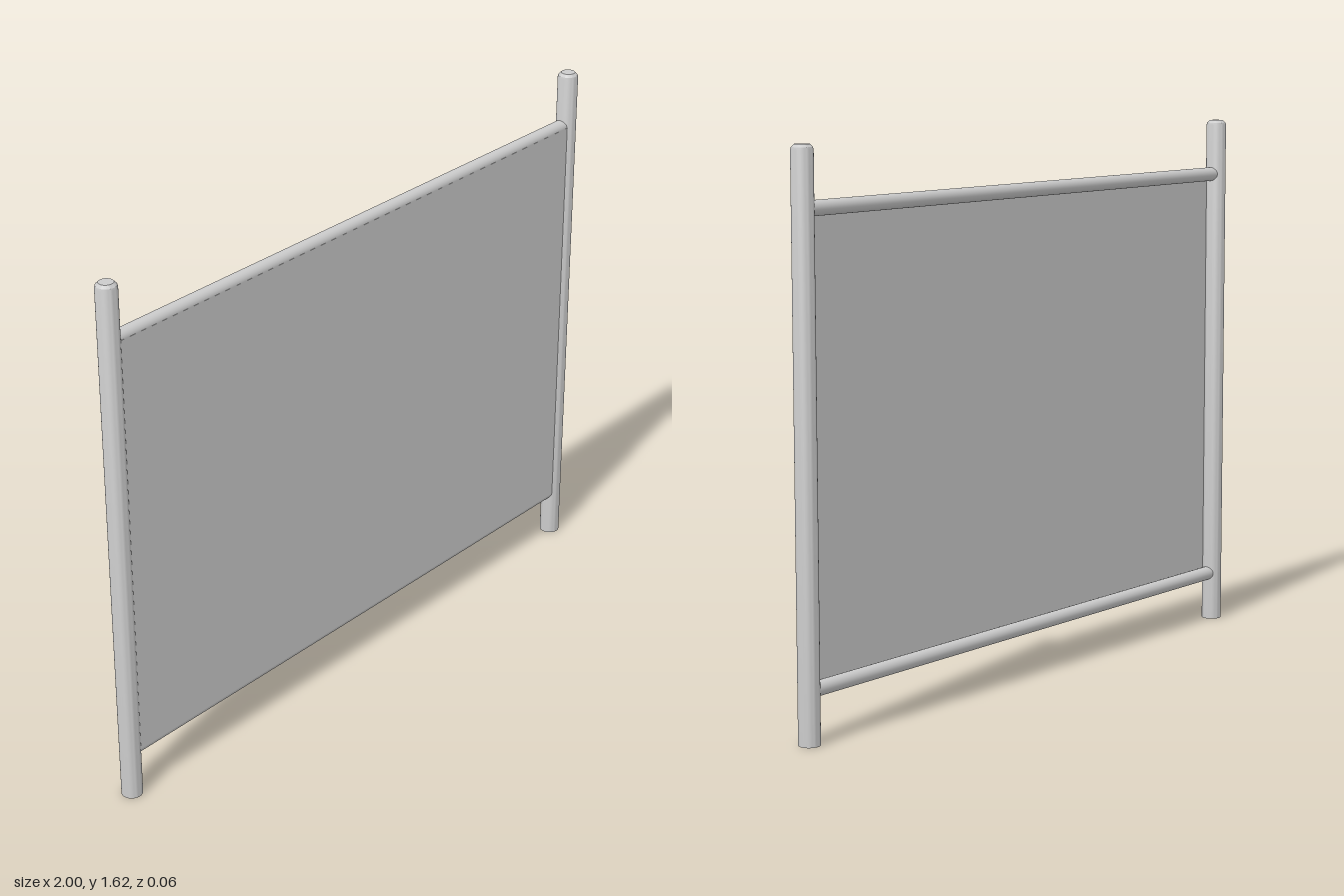
import * as THREE from 'three';
import { toCreasedNormals } from 'three/addons/utils/BufferGeometryUtils.js';

const POST_X = 0.969, POST_R = 0.031, HEIGHT = 1.625;
const RAIL_R = 0.0215, RAIL_TOP = 1.454, RAIL_BOTTOM = 0.151;

export function createModel() {
  const group = new THREE.Group();
  const material = new THREE.MeshStandardMaterial({ color: 0xcccccc });
  const add = (name, geometry, x, y, z) => {
    const mesh = new THREE.Mesh(geometry, material);
    mesh.name = name;
    mesh.position.set(x, y, z);
    group.add(mesh);
    return mesh;
  };

  // Round posts with a softly bevelled top
  const profile = [
    [0, 0], [POST_R, 0], [POST_R, HEIGHT - 0.015], [0.029, HEIGHT - 0.008],
    [0.021, HEIGHT], [0, HEIGHT],
  ].map(([r, y]) => new THREE.Vector2(r, y));
  const post = toCreasedNormals(new THREE.LatheGeometry(profile, 32), 0.5);
  add('leftPost', post, POST_X, 0, 0);
  add('rightPost', post, -POST_X, 0, 0);

  // Horizontal rails running into the posts
  const rail = new THREE.CylinderGeometry(RAIL_R, RAIL_R, POST_X * 2, 32).rotateZ(Math.PI / 2);
  add('topRail', rail, 0, RAIL_TOP, 0);
  add('bottomRail', rail, 0, RAIL_BOTTOM, 0);

  // Thin sheet stretched across the front of the rails
  const sheet = new THREE.BoxGeometry(POST_X * 2, RAIL_TOP - RAIL_BOTTOM, 0.003);
  add('panel', sheet, 0, (RAIL_TOP + RAIL_BOTTOM) / 2, RAIL_R - 0.001);

  return group;
}
